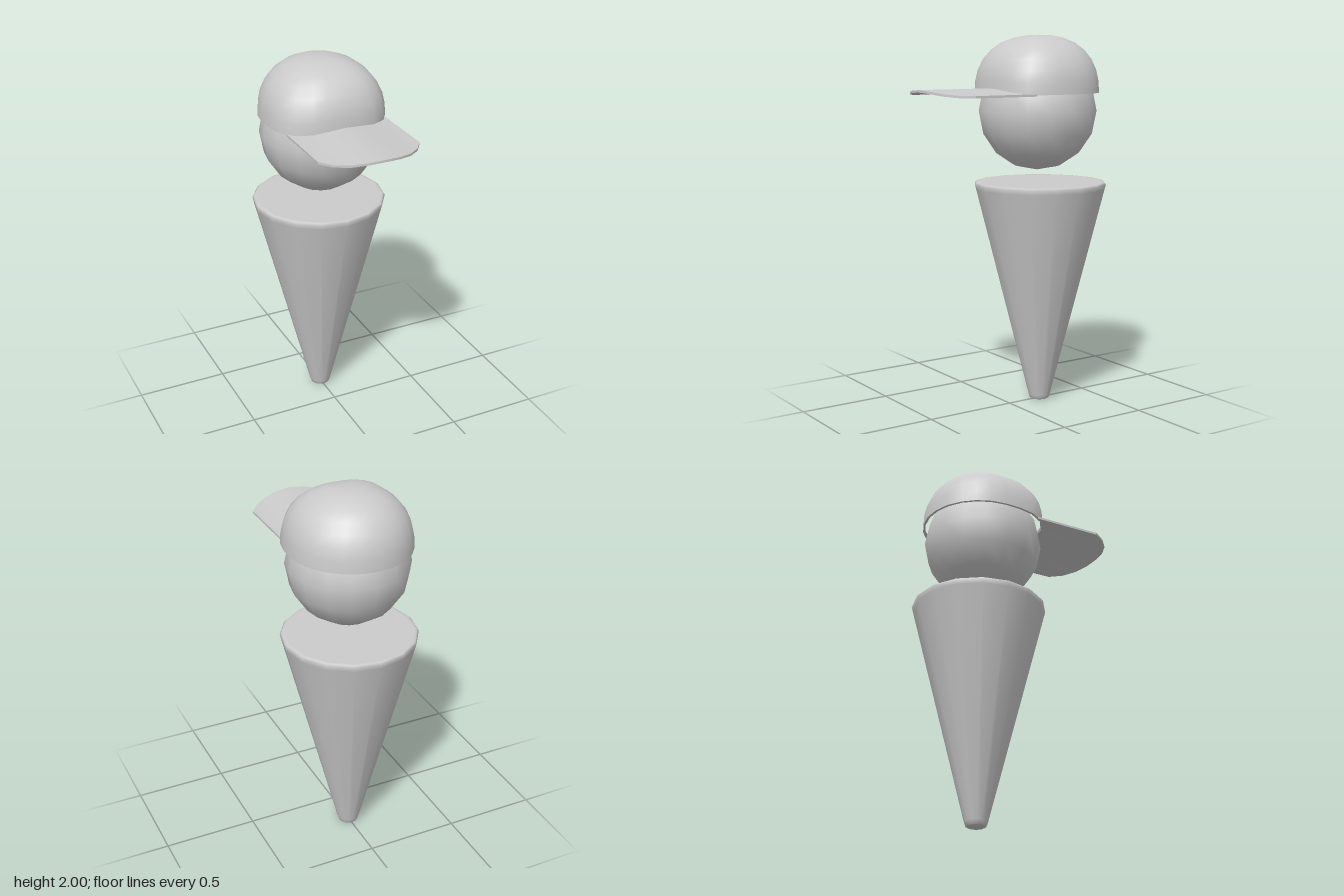
import * as THREE from 'three';
import { toCreasedNormals } from 'three/addons/utils/BufferGeometryUtils.js';

const material = new THREE.MeshStandardMaterial({ color: 0xcccccc });
const CAP_R = 0.32, CAP_Z = -0.195, CAP_TOP = 2.0, FRONT_POWER = 2.9;

function part(name, geometry, parent) {
  const mesh = new THREE.Mesh(geometry, material);
  mesh.name = name;
  parent.add(mesh);
  return mesh;
}

// Radius of a superellipse of power n in direction a
const superRadius = (a, n) =>
  (Math.abs(Math.sin(a)) ** n + Math.abs(Math.cos(a)) ** n) ** (-1 / n);

// Gentle wave shared by the brim and the front edge of the cap
const brimHeight = (x) => 1.705 + 0.012 * Math.cos((Math.PI * x) / 0.27);

// Tapered body with softened ends
function bodyGeometry() {
  const profile = [
    [0, 0], [0.045, 0], [0.053, 0.004], [0.06, 0.025],
    [0.353, 1.18], [0.359, 1.204], [0.35, 1.214], [0.335, 1.215], [0, 1.215],
  ].map(([r, y]) => new THREE.Vector2(r, y));
  return new THREE.LatheGeometry(profile, 16);
}

// Domed shell: inner wall, rim, then outer rows up to the crown
function crownGeometry() {
  const segs = 24, rows = 8;
  const rings = [[0.96, 0.04], [0.96, 0]];
  for (let j = 0; j <= rows; j++) {
    const t = (j / rows) * (Math.PI / 2);
    const r = superRadius(t, 2.35);
    rings.push([j === rows ? 0 : r * Math.cos(t), r * Math.sin(t)]);
  }
  const positions = [], index = [];
  rings.forEach(([scale, h], j) => {
    for (let i = 0; i < segs; i++) {
      const a = (i / segs) * Math.PI * 2;
      const front = Math.cos(a) > 0;
      const r = CAP_R * scale * (front ? superRadius(a, FRONT_POWER) : 1);
      const x = r * Math.sin(a), z = CAP_Z + r * Math.cos(a);
      const blend = THREE.MathUtils.smoothstep(z, -0.2, 0.03);
      const base = THREE.MathUtils.lerp(1.695, brimHeight(x), blend);
      positions.push(x, base + (CAP_TOP - base) * h, z);
      if (j === rings.length - 1) continue;
      const n = (i + 1) % segs;
      const p = j * segs + i, q = j * segs + n;
      index.push(p, q, q + segs);
      if (j < rings.length - 2) index.push(p, q + segs, p + segs);
    }
  });
  const geometry = new THREE.BufferGeometry();
  geometry.setAttribute('position', new THREE.Float32BufferAttribute(positions, 3));
  geometry.setIndex(index);
  return toCreasedNormals(geometry, 0.9);
}

// Thin plate, rounded in front, following the cap at the back
function brimGeometry() {
  const geometry = new THREE.BoxGeometry(2, 1, 1, 8, 1, 1);
  const pos = geometry.attributes.position;
  const arcR = 0.312, arcZ = 0.243, n = FRONT_POWER;
  for (let i = 0; i < pos.count; i++) {
    const a = pos.getX(i) * 1.08;
    const x = arcR * Math.sin(a);
    const capFront = CAP_Z + CAP_R * (1 - (Math.abs(x) / CAP_R) ** n) ** (1 / n);
    const z = pos.getZ(i) > 0 ? arcZ + arcR * Math.cos(a) : capFront - 0.012;
    pos.setXYZ(i, x, brimHeight(x) + pos.getY(i) * 0.012, z);
  }
  return toCreasedNormals(geometry, 0.6);
}

export function createModel() {
  const model = new THREE.Group();
  model.name = 'figure';

  part('body', bodyGeometry(), model).position.z = -0.2;
  part('head', new THREE.SphereGeometry(0.32, 16, 8), model).position.set(0, 1.6, -0.18);

  const cap = new THREE.Group();
  cap.name = 'cap';
  part('crown', crownGeometry(), cap);
  part('brim', brimGeometry(), cap);
  model.add(cap);

  return model;
}
